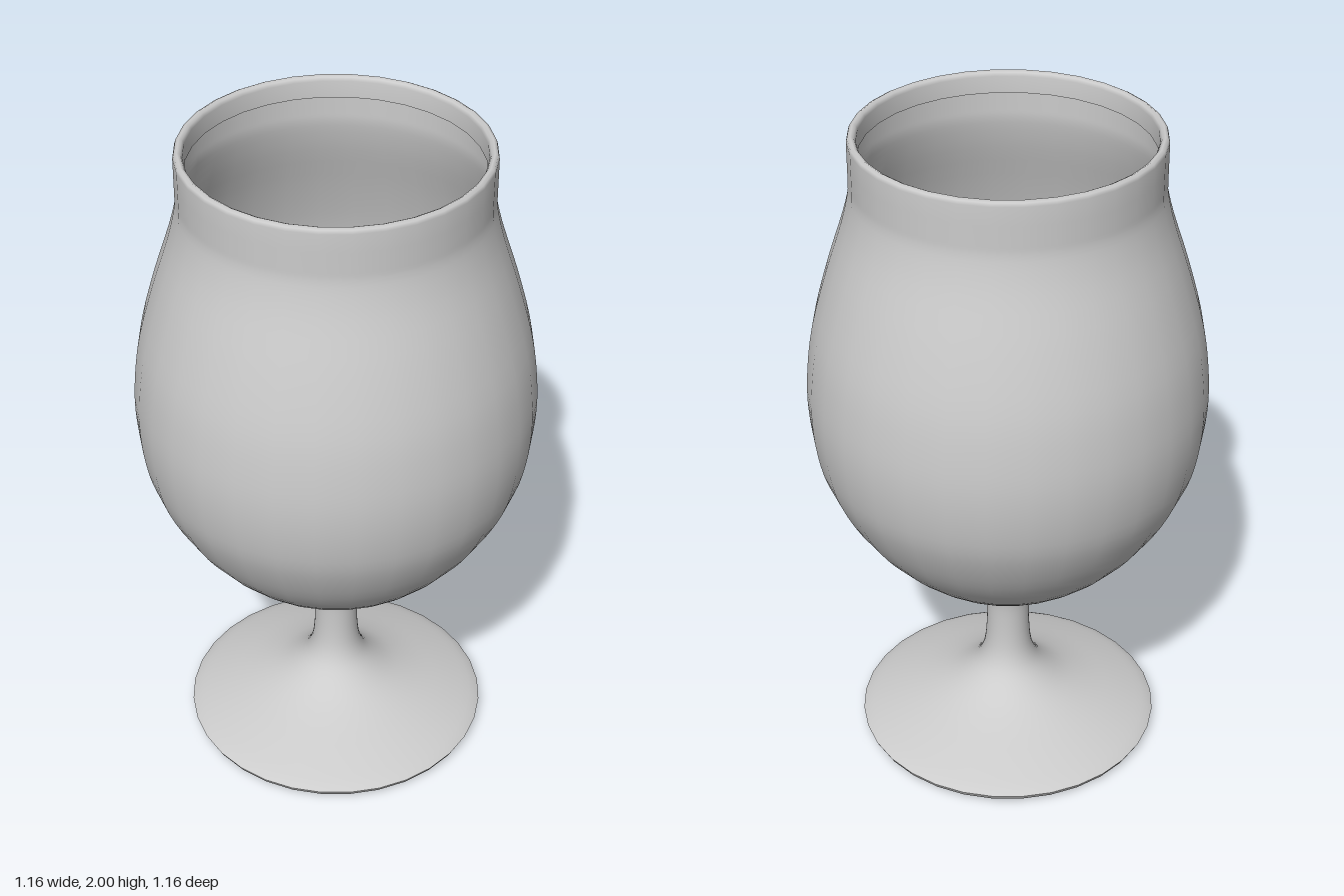
import * as THREE from 'three';

const SIDES = 32;
const material = new THREE.MeshStandardMaterial({ color: 0xcccccc, side: THREE.DoubleSide });

// Smooth curve through [radius, height] pairs
function curve(pairs, divisions) {
  return new THREE.SplineCurve(pairs.map(([r, y]) => new THREE.Vector2(r, y))).getPoints(divisions);
}

function part(name, geometry) {
  const mesh = new THREE.Mesh(geometry, material);
  mesh.name = name;
  return mesh;
}

export function createModel() {
  const group = new THREE.Group();
  group.name = 'stemmedGlass';

  // Hollow foot, stem and bowl in one continuous wall
  const wall = curve([
    [0.46, 0.028], [0.43, 0.045], [0.35, 0.075], [0.25, 0.11], [0.17, 0.147],
    [0.11, 0.195], [0.08, 0.245], [0.068, 0.31], [0.066, 0.4], [0.07, 0.455],
    [0.08, 0.49], [0.105, 0.515], [0.19, 0.557], [0.29, 0.62], [0.39, 0.71],
    [0.475, 0.82], [0.54, 0.95], [0.568, 1.06], [0.579, 1.18], [0.573, 1.3],
    [0.553, 1.43], [0.509, 1.59], [0.46, 1.74], [0.438, 1.83], [0.435, 1.87],
  ], 72);

  // Straight neck, rounded rim and the short lip folded down inside
  const rim = [
    [0.435, 1.93], [0.435, 1.985], [0.432, 1.995], [0.423, 2],
    [0.414, 1.995], [0.409, 1.985], [0.408, 1.935],
  ].map(([r, y]) => new THREE.Vector2(r, y));
  group.add(part('footStemAndBowl', new THREE.LatheGeometry([...wall, ...rim], SIDES)));

  // Rounded outer edge under the foot
  const edge = curve([[0.425, 0], [0.448, 0.008], [0.46, 0.028]], 5);
  group.add(part('footEdge', new THREE.LatheGeometry(edge, SIDES)));

  // Flat underside, also the floor seen down the hollow stem
  const base = new THREE.CircleGeometry(0.425, SIDES).rotateX(Math.PI / 2);
  group.add(part('footUnderside', base));

  return group;
}
